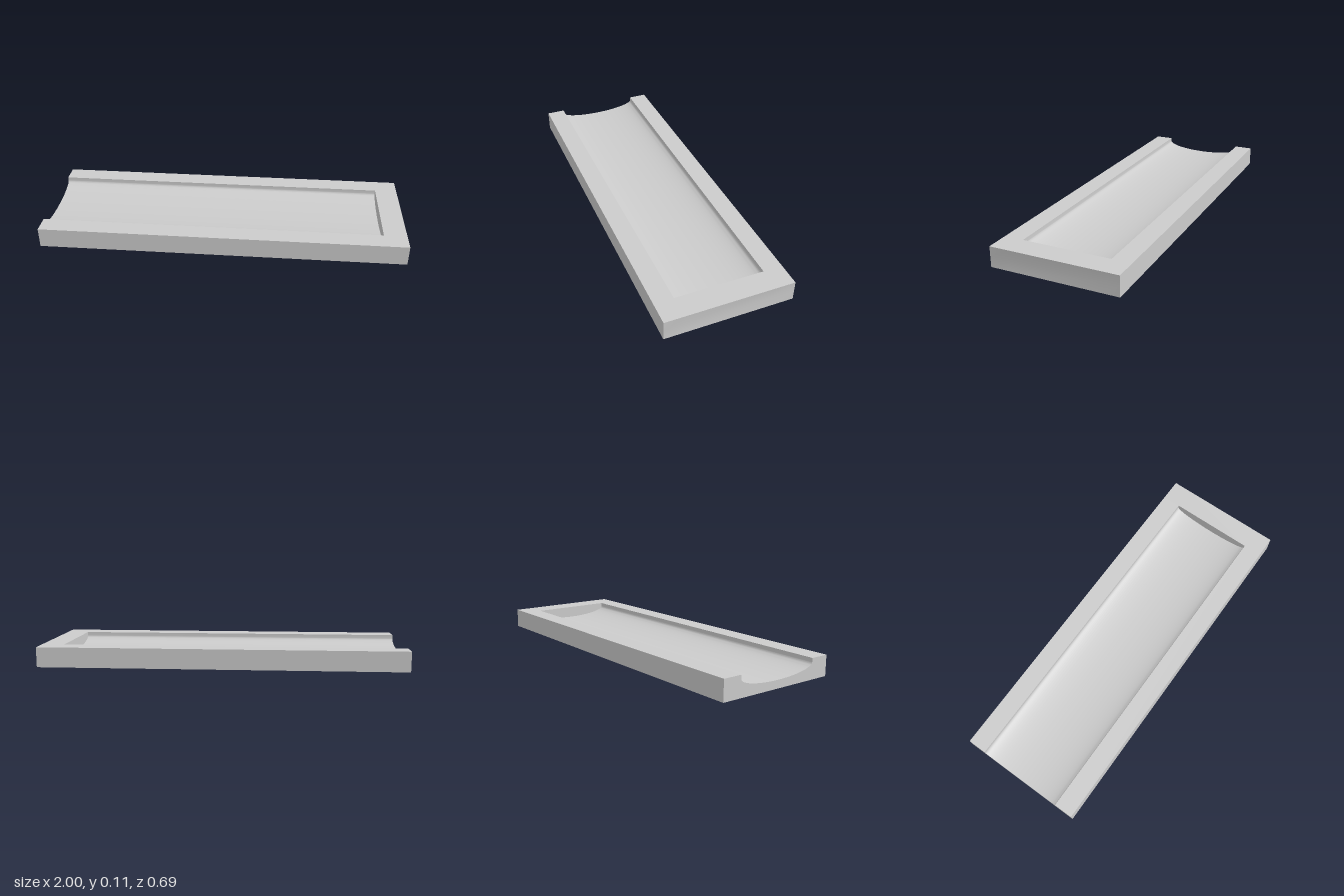
import * as THREE from 'three';
import { toCreasedNormals } from 'three/addons/utils/BufferGeometryUtils.js';

const HEIGHT = 0.11, HALF_WIDTH = 0.345, GROOVE = 0.24, WALL_X = 0.875;

export function createModel() {
  const group = new THREE.Group();
  const material = new THREE.MeshStandardMaterial({ color: 0xcccccc });
  const add = (geometry, name) => {
    const mesh = new THREE.Mesh(toCreasedNormals(geometry, 0.4), material);
    mesh.name = name;
    group.add(mesh);
    return mesh;
  };

  // Tray: a slab with a rounded trough, open at the -x end
  const profile = new THREE.Shape();
  profile.moveTo(-HALF_WIDTH, 0);
  profile.lineTo(HALF_WIDTH, 0);
  profile.lineTo(HALF_WIDTH, HEIGHT);
  profile.lineTo(GROOVE, HEIGHT);
  const steps = 40;
  for (let i = 0; i <= steps; i++) {
    const a = (i / steps) * Math.PI;
    profile.lineTo(GROOVE * Math.cos(a), HEIGHT - 0.02 - 0.047 * Math.sin(a));
  }
  profile.lineTo(-GROOVE, HEIGHT);
  profile.lineTo(-HALF_WIDTH, HEIGHT);
  profile.closePath();
  const tray = new THREE.ExtrudeGeometry(profile, { depth: WALL_X + 1, bevelEnabled: false });
  tray.rotateY(Math.PI / 2);
  tray.translate(-1, 0, 0);
  add(tray, 'troughBody');

  // Closed end: a solid block with a very shallow dent in its outer face
  const end = new THREE.BoxGeometry(1 - WALL_X, HEIGHT, HALF_WIDTH * 2, 1, 2, 3);
  end.translate((1 + WALL_X) / 2, HEIGHT / 2, 0);
  const p = end.attributes.position;
  for (let i = 0; i < p.count; i++) {
    const z = p.getZ(i);
    if (Math.abs(z) > HALF_WIDTH - 0.01) continue;
    p.setZ(i, Math.sign(z) * GROOVE);
    const midHeight = Math.abs(p.getY(i) - HEIGHT / 2) < 0.01;
    if (midHeight && p.getX(i) > 0.99) p.setX(i, 0.995);
  }
  add(end, 'endWall');

  return group;
}
